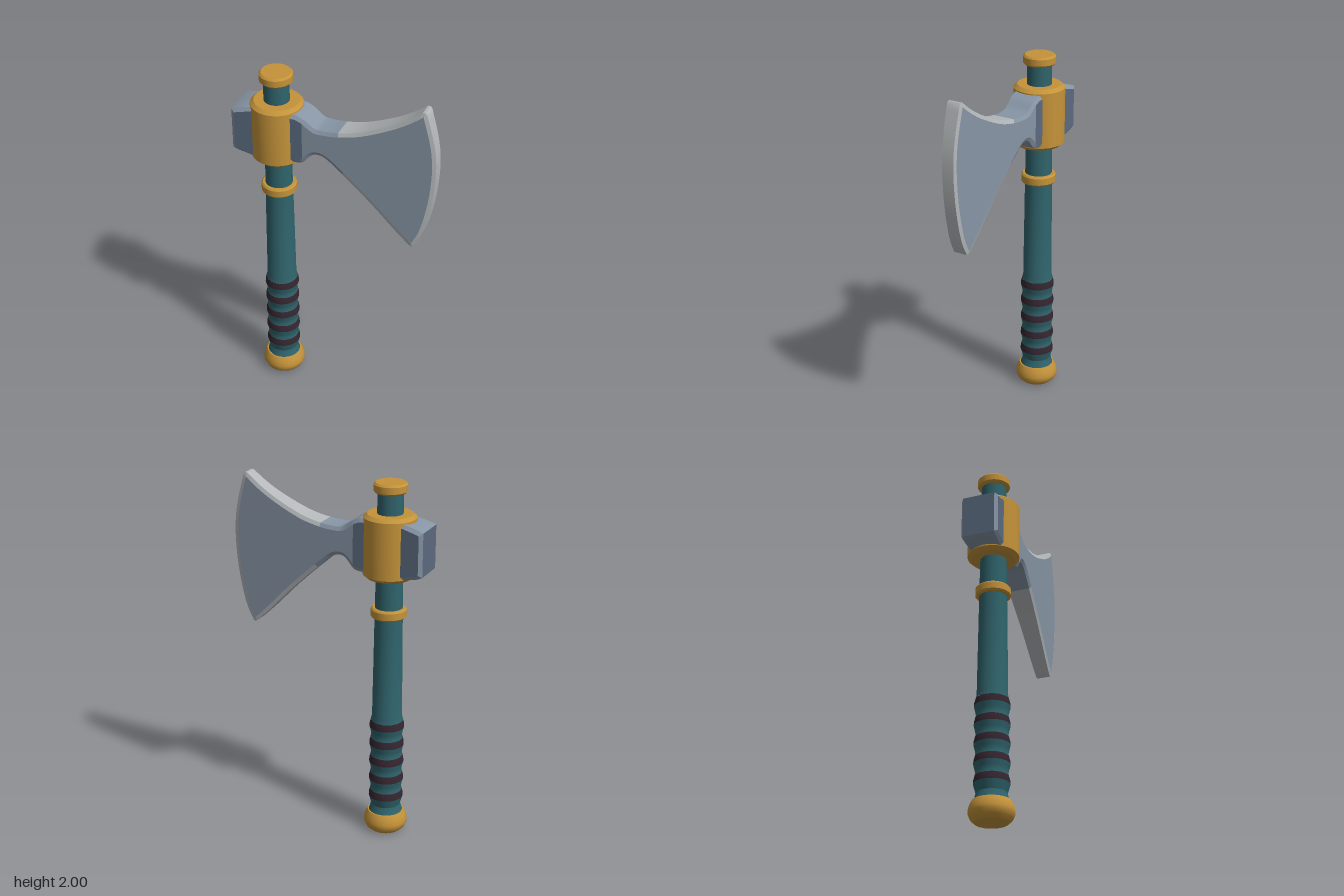
import * as THREE from 'three';
import { toCreasedNormals } from 'three/addons/utils/BufferGeometryUtils.js';

const mat = (name, color) => Object.assign(new THREE.MeshStandardMaterial({ color }), { name });
const V = (x, y) => new THREE.Vector2(x, y);
const AXIS = -0.34; // x of the handle

// head thickness tapers from the poll to the cutting edge
const halfZ = (x) => 0.0725 - 0.0596 * x;
const rimZ = (x) => halfZ(x) * 0.86;

const spline = (pts, n) => new THREE.SplineCurve(pts.map((p) => V(...p))).getPoints(n);

// counter-clockwise silhouette of the axe head
function headOutline() {
  const bottom = spline([[-0.2, 1.52], [-0.165, 1.53], [-0.12, 1.58], [-0.09, 1.593], [-0.05, 1.585], [0.01, 1.54],
    [0.2, 1.365], [0.34, 1.22], [0.425, 1.137]], 32);
  const edge = spline([[0.452, 1.132], [0.5, 1.235], [0.54, 1.42], [0.556, 1.62], [0.542, 1.78], [0.497, 1.955]], 20);
  const top = spline([[0.472, 1.966], [0.4, 1.91], [0.3, 1.85], [0.15, 1.782], [0.03, 1.752],
    [-0.05, 1.745], [-0.1, 1.75], [-0.155, 1.79], [-0.2, 1.81]], 32);
  return [V(-0.56, 1.54), V(-0.535, 1.528), V(-0.45, 1.51), ...bottom, V(0.44, 1.127), ...edge,
    V(0.487, 1.968), ...top, V(-0.45, 1.81), V(-0.535, 1.787), V(-0.56, 1.777)];
}

// mitred inward offset of a closed outline
function inset(pts, d) {
  const n = pts.length;
  const normal = (a, b) => V(a.y - b.y, b.x - a.x).normalize();
  return pts.map((p, i) => {
    const a = normal(pts[(i + n - 1) % n], p);
    const b = normal(p, pts[(i + 1) % n]);
    const m = a.clone().add(b).normalize();
    return p.clone().addScaledVector(m, d / Math.max(0.6, m.dot(a)));
  });
}

// part of an outline on one side of a vertical line
function clip(pts, x, sign) {
  const out = [];
  pts.forEach((p, i) => {
    const q = pts[(i + 1) % pts.length];
    const inP = (p.x - x) * sign >= 0, inQ = (q.x - x) * sign >= 0;
    if (inP) out.push(p);
    if (inP !== inQ) out.push(p.clone().lerp(q, (x - p.x) / (q.x - p.x)));
  });
  return out;
}

// flat cheeks on both sides of the head
function cheeks(pts) {
  const pos = [];
  for (const [a, b, c] of THREE.ShapeUtils.triangulateShape(pts, [])) {
    for (const [s, tri] of [[1, [a, b, c]], [-1, [a, c, b]]]) {
      for (const i of tri) pos.push(pts[i].x, pts[i].y, s * halfZ(pts[i].x));
    }
  }
  return fromPositions(pos);
}

function fromPositions(pos) {
  const g = new THREE.BufferGeometry();
  g.setAttribute('position', new THREE.Float32BufferAttribute(pos, 3));
  return toCreasedNormals(g, 0.45);
}

export function createModel() {
  const gold = mat('gold', 0xc4933a);
  const teal = mat('teal handle', 0x2f636b);
  const wrap = mat('dark wrap', 0x35252f);
  const steel = mat('steel', 0x8795a5);
  const darkSteel = mat('dark steel', 0x5c6b80);
  const bright = mat('bright edge', 0xb4b8ba);

  const model = new THREE.Group();
  model.name = 'axe';
  const add = (name, geometry, material) => {
    const m = new THREE.Mesh(geometry, material);
    m.name = name;
    model.add(m);
    return m;
  };
  const turned = (name, profile, material, crease = 0.5) => {
    const g = new THREE.LatheGeometry(profile.map(([r, y]) => V(r, y)), 40);
    add(name, toCreasedNormals(g, crease), material).position.x = AXIS;
  };
  // closed band with chamfered rims
  const band = (name, r, y0, y1, c, h) => turned(name,
    [[0, y0], [r - c, y0], [r, y0 + h], [r, y1 - h], [r - c, y1], [0, y1]], gold);

  // handle with a rippled grip
  turned('handleFoot', [[0.1, 0.1], [0.088, 0.125], [0.081, 0.155], [0.095, 0.204]], teal);
  for (let i = 0; i < 5; i++) {
    const y = 0.204 + i * 0.1057;
    turned('gripWrap', [[0.095, y], [0.094, y + 0.016], [0.088, y + 0.04]], wrap);
    if (i < 4) turned('gripRipple', [[0.088, y + 0.04], [0.084, y + 0.058], [0.088, y + 0.078], [0.095, y + 0.1057]], teal);
  }
  turned('shaft', [[0.088, 0.667], [0.082, 0.69], [0.075, 1.28], [0.07, 1.6], [0.068, 1.96]], teal);

  // gold fittings
  turned('pommel', [[0, 0], [0.088, 0], [0.108, 0.018], [0.12, 0.045], [0.12, 0.062], [0.113, 0.09], [0.1, 0.114], [0.08, 0.116]], gold, 0.7);
  band('shaftRing', 0.096, 1.265, 1.32, 0.008, 0.009);
  band('headCollar', 0.141, 1.49, 1.835, 0.02, 0.018);
  band('topCap', 0.089, 1.945, 2, 0.01, 0.01);

  // axe head: cheeks
  const outer = headOutline();
  const inner = inset(outer, 0.02);
  add('socketCheeks', cheeks(clip(inner, -0.165, -1)), darkSteel);
  add('bladeCheeks', cheeks(clip(inner, -0.165, 1)), steel);

  // axe head: bevels and outer rim, grouped by finish
  const rims = { socketRim: [], bladeRim: [], pollFace: [] };
  outer.forEach((p, i) => {
    const j = (i + 1) % outer.length;
    const q = outer[j], a = inner[i], b = inner[j];
    const quad = (list, A, B, C, D) => list.push(...A, ...B, ...C, ...A, ...C, ...D);
    const at = (v, z) => [v.x, v.y, z];
    const list = (p.x + q.x) / 2 > 0.03 ? rims.bladeRim : rims.socketRim;
    const flat = j === 0 ? rims.pollFace : list;
    quad(list, at(p, rimZ(p.x)), at(q, rimZ(q.x)), at(b, halfZ(b.x)), at(a, halfZ(a.x)));
    quad(list, at(q, -rimZ(q.x)), at(p, -rimZ(p.x)), at(a, -halfZ(a.x)), at(b, -halfZ(b.x)));
    quad(flat, at(p, -rimZ(p.x)), at(q, -rimZ(q.x)), at(q, rimZ(q.x)), at(p, rimZ(p.x)));
  });
  add('socketRim', fromPositions(rims.socketRim), steel);
  add('bladeRim', fromPositions(rims.bladeRim), bright);
  add('pollFace', fromPositions(rims.pollFace), darkSteel);

  return model;
}
